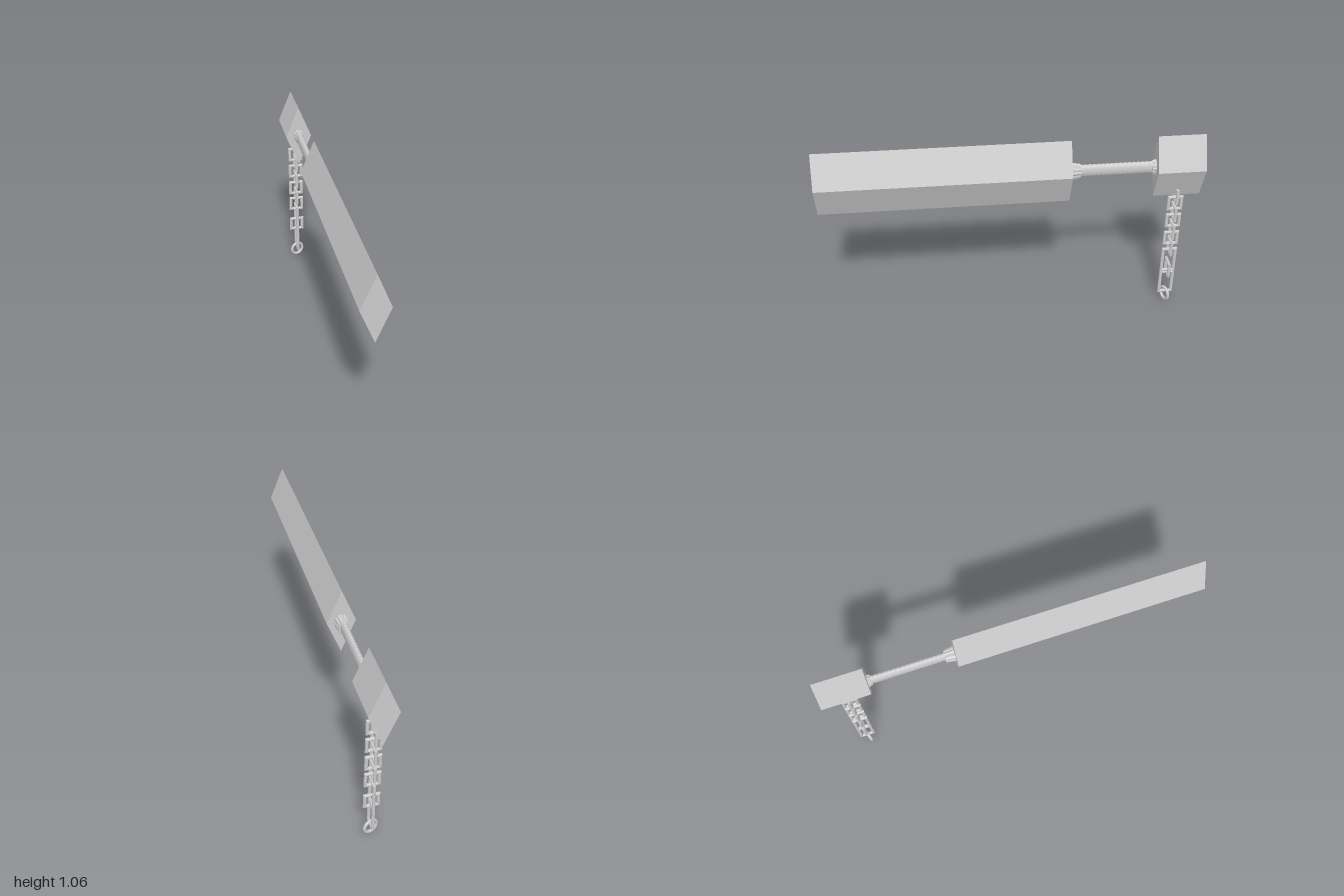
import * as THREE from 'three';

const AXIS_Y = 0.885;   // height of the blade and handle axis
const CHAIN_Z = -0.875; // the chain hangs below the pommel

const grey = new THREE.MeshStandardMaterial({ color: 0xcccccc, side: THREE.DoubleSide });
const greyFlat = new THREE.MeshStandardMaterial({ color: 0xcccccc, flatShading: true });

export function createModel() {
  const model = new THREE.Group();

  function add(name, geometry, material, x, y, z) {
    const mesh = new THREE.Mesh(geometry, material);
    mesh.name = name;
    mesh.position.set(x, y, z);
    model.add(mesh);
    return mesh;
  }

  // Prism with a diamond section, running from z0 to z1
  function diamondPrism(name, z0, z1) {
    const g = new THREE.CylinderGeometry(1, 1, z1 - z0, 4);
    g.rotateX(Math.PI / 2);
    g.scale(0.073, 0.178, 1);
    add(name, g, greyFlat, 0, AXIS_Y, (z0 + z1) / 2);
  }
  diamondPrism('blade', -0.305, 1);
  diamondPrism('pommel', -1, -0.75);

  // Oval grip with fine wrapped ridges
  const wraps = 20, length = 0.46, profile = [];
  for (let i = 0; i <= wraps * 4; i++) {
    const ridge = Math.abs(Math.sin((i / 4) * Math.PI));
    profile.push(new THREE.Vector2(0.032 + 0.004 * ridge, (i / (wraps * 4) - 0.5) * length));
  }
  const grip = new THREE.LatheGeometry(profile, 20);
  grip.rotateX(Math.PI / 2);
  grip.scale(0.52, 1, 1);
  add('grip', grip, grey, 0, AXIS_Y, -0.53);

  // Fluted collars, widest where they meet the blade and the pommel
  function collar(name, z, len, rx, ry, dir) {
    const g = new THREE.CylinderGeometry(1, 0.8, len, 24);
    const p = g.attributes.position;
    for (let i = 0; i < p.count; i++) {
      const angle = Math.atan2(p.getX(i), p.getZ(i));
      const k = 0.94 + 0.06 * Math.cos(angle * 12);
      p.setX(i, p.getX(i) * k);
      p.setZ(i, p.getZ(i) * k);
    }
    g.rotateX(dir * Math.PI / 2);
    g.scale(rx, ry, 1);
    add(name, g, greyFlat, 0, AXIS_Y, z);
  }
  collar('bladeCollar', -0.33, 0.05, 0.037, 0.048, 1);
  collar('pommelCollar', -0.742, 0.025, 0.031, 0.046, -1);

  // Rectangular link: a four-cornered torus stretched in height
  function link(bottom, top, sideways) {
    const bar = 0.009, half = 0.034;
    const g = new THREE.TorusGeometry(half * Math.SQRT2, bar * Math.SQRT2, 8, 4);
    g.rotateZ(Math.PI / 4);
    g.scale(1, 1, Math.SQRT1_2);
    const stretch = (top - bottom) / 2 - half - bar;
    const p = g.attributes.position;
    for (let i = 0; i < p.count; i++) p.setY(i, p.getY(i) + Math.sign(p.getY(i)) * stretch);
    if (sideways) g.rotateY(Math.PI / 2);
    add('chainLink', g, greyFlat, 0, (bottom + top) / 2, CHAIN_Z);
  }
  const links = [
    [0.665, 0.755], [0.61, 0.7], [0.555, 0.643], [0.5, 0.59], [0.44, 0.53],
    [0.385, 0.475], [0.33, 0.42], [0.19, 0.363], [0.187, 0.275], [0.055, 0.222],
  ];
  links.forEach(([bottom, top], i) => link(bottom, top, i % 2 === 1));

  // Round end ring, turned a little on the last link
  const ring = add('endRing', new THREE.TorusGeometry(0.036, 0.0085, 10, 32), grey, 0, 0.0465, CHAIN_Z);
  ring.rotation.y = 0.34;

  return model;
}
